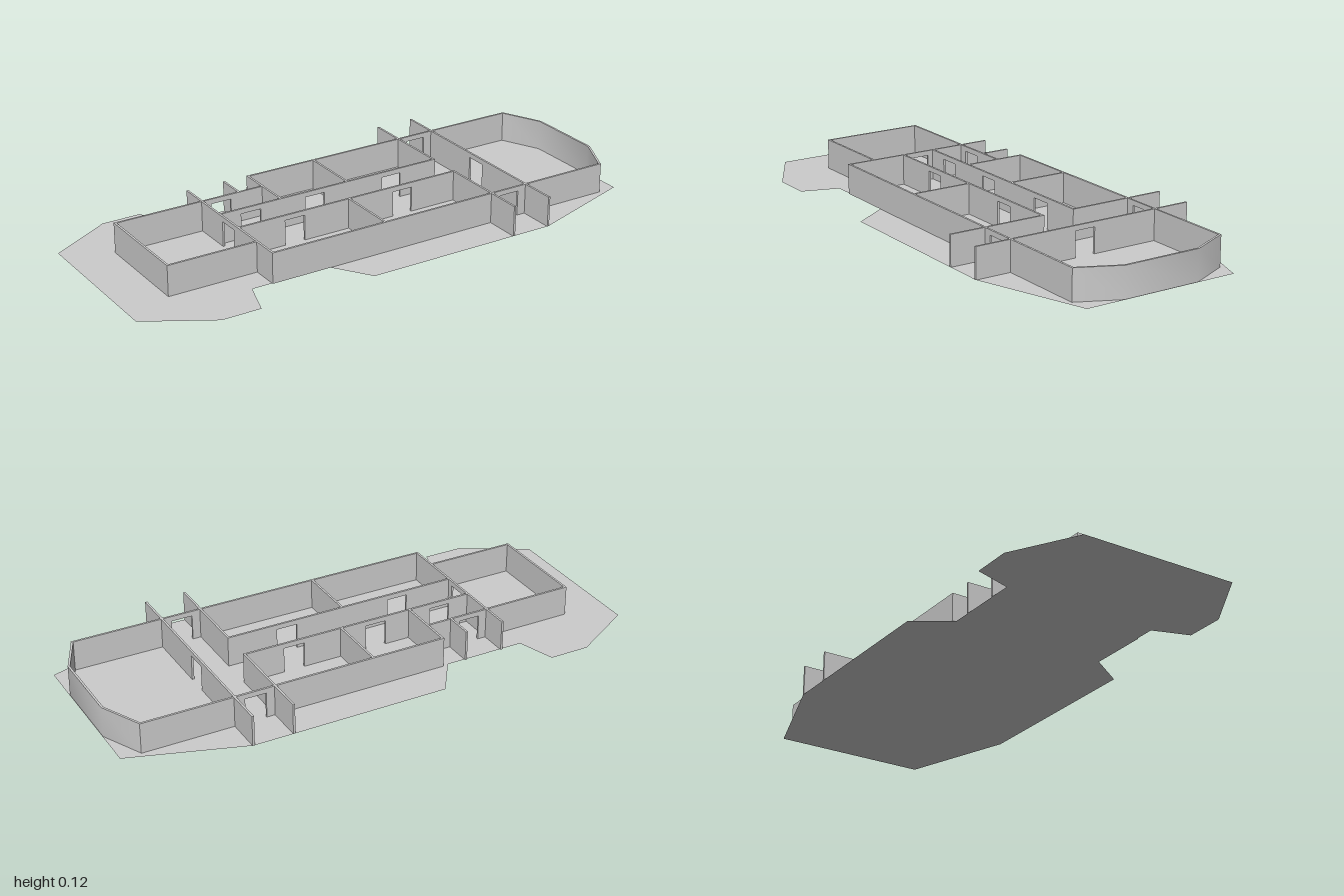
import * as THREE from 'three';
import { toCreasedNormals } from 'three/addons/utils/BufferGeometryUtils.js';

const H = 0.115;          // wall height
const T = 0.008;          // wall thickness
const DOOR_W = 0.08, DOOR_H = 0.096;

export function createModel() {
  const model = new THREE.Group();
  const wallMat = new THREE.MeshStandardMaterial({ color: 0xcccccc });
  const floorMat = new THREE.MeshStandardMaterial({ color: 0xcccccc, side: THREE.DoubleSide });

  function add(name, geometry, material = wallMat) {
    const mesh = new THREE.Mesh(geometry, material);
    mesh.name = name;
    model.add(mesh);
    return mesh;
  }

  // Straight wall in plan from (x1,z1) to (x2,z2); doors are distances along it
  function wall(name, x1, z1, x2, z2, doors = []) {
    const dx = x2 - x1, dz = z2 - z1;
    const end = Math.hypot(dx, dz) + T / 2;
    const s = new THREE.Shape();
    s.moveTo(-T / 2, 0);
    for (const d of doors) {
      s.lineTo(d - DOOR_W / 2, 0);
      s.lineTo(d - DOOR_W / 2, DOOR_H);
      s.lineTo(d + DOOR_W / 2, DOOR_H);
      s.lineTo(d + DOOR_W / 2, 0);
    }
    s.lineTo(end, 0);
    s.lineTo(end, H);
    s.lineTo(-T / 2, H);
    const g = new THREE.ExtrudeGeometry(s, { depth: T, bevelEnabled: false });
    g.translate(0, 0, -T / 2);
    const mesh = add(name, g);
    mesh.position.set(x1, 0, z1);
    mesh.rotation.y = -Math.atan2(dz, dx);
  }

  // Walls along x (fixed z) and along z (fixed x), doors given as coordinates
  const alongX = (name, z, a, b, doors = []) => wall(name, a, z, b, z, doors.map((d) => d - a));
  const alongZ = (name, x, a, b, doors = []) => wall(name, x, a, x, b, doors.map((d) => d - a));

  // Plan shape mirrored about the long axis from one side's points
  const mirrored = (half) => {
    const other = half.map(([x, z]) => [x, -z]).reverse();
    return [...half, ...other].map(([x, z]) => new THREE.Vector2(x, z));
  };

  // Deck plate
  const deck = new THREE.ShapeGeometry(new THREE.Shape(mirrored([
    [-1, 0.3], [-0.76, 0.44], [-0.61, 0.44], [-0.565, 0.3],
    [-0.26, 0.3], [-0.165, 0.44], [0.58, 0.44], [1, 0.3],
  ])));
  deck.rotateX(-Math.PI / 2);
  add('deck', deck, floorMat);

  // Faceted bow wall
  const bowShape = new THREE.Shape([
    [0.925, -0.304], [0.998, -0.15], [0.998, 0.15], [0.925, 0.304],
    [0.92, 0.296], [0.99, 0.148], [0.99, -0.148], [0.92, -0.296],
  ].map(([x, z]) => new THREE.Vector2(x, z)));
  const bow = new THREE.ExtrudeGeometry(bowShape, { depth: H, bevelEnabled: false });
  bow.rotateX(-Math.PI / 2);
  add('bowWall', toCreasedNormals(bow, 0.6));

  // Outer side walls, each with a door into the cross passage
  alongX('backOuterWall', -0.3, -0.235, 0.922, [0.502]);
  alongX('frontOuterWall', 0.3, -0.483, 0.922, [0.502]);

  // Cross passage, open to the central corridor
  alongZ('bowBulkhead', 0.579, -0.436, 0.436, [0]);
  alongZ('backPassageWall', 0.427, -0.436, -0.065);
  alongZ('frontPassageWall', 0.427, 0.065, 0.436);

  // Central corridor walls with a door to each room
  alongX('backCorridorWall', -0.065, -0.483, 0.427, [-0.36, -0.095, 0.235]);
  alongX('frontCorridorWall', 0.065, -0.483, 0.427, [-0.257, 0.197]);

  // Room partitions
  alongZ('backRoomPartition', 0.045, -0.3, -0.065);
  alongZ('backRoomEndWall', -0.235, -0.3, -0.065);
  alongZ('frontRoomPartition', -0.03, 0.065, 0.3);

  // Stern room, its bulkhead and the side entrance lobby
  alongZ('sternBulkhead', -0.483, -0.3, 0.3, [0]);
  alongZ('sternWall', -0.825, -0.195, 0.195);
  alongX('sternFrontWall', 0.195, -0.825, -0.483);
  alongX('sternBackWall', -0.195, -0.825, -0.235, [-0.408]);
  alongZ('entranceSideWall', -0.333, -0.3, -0.195);

  return model;
}
